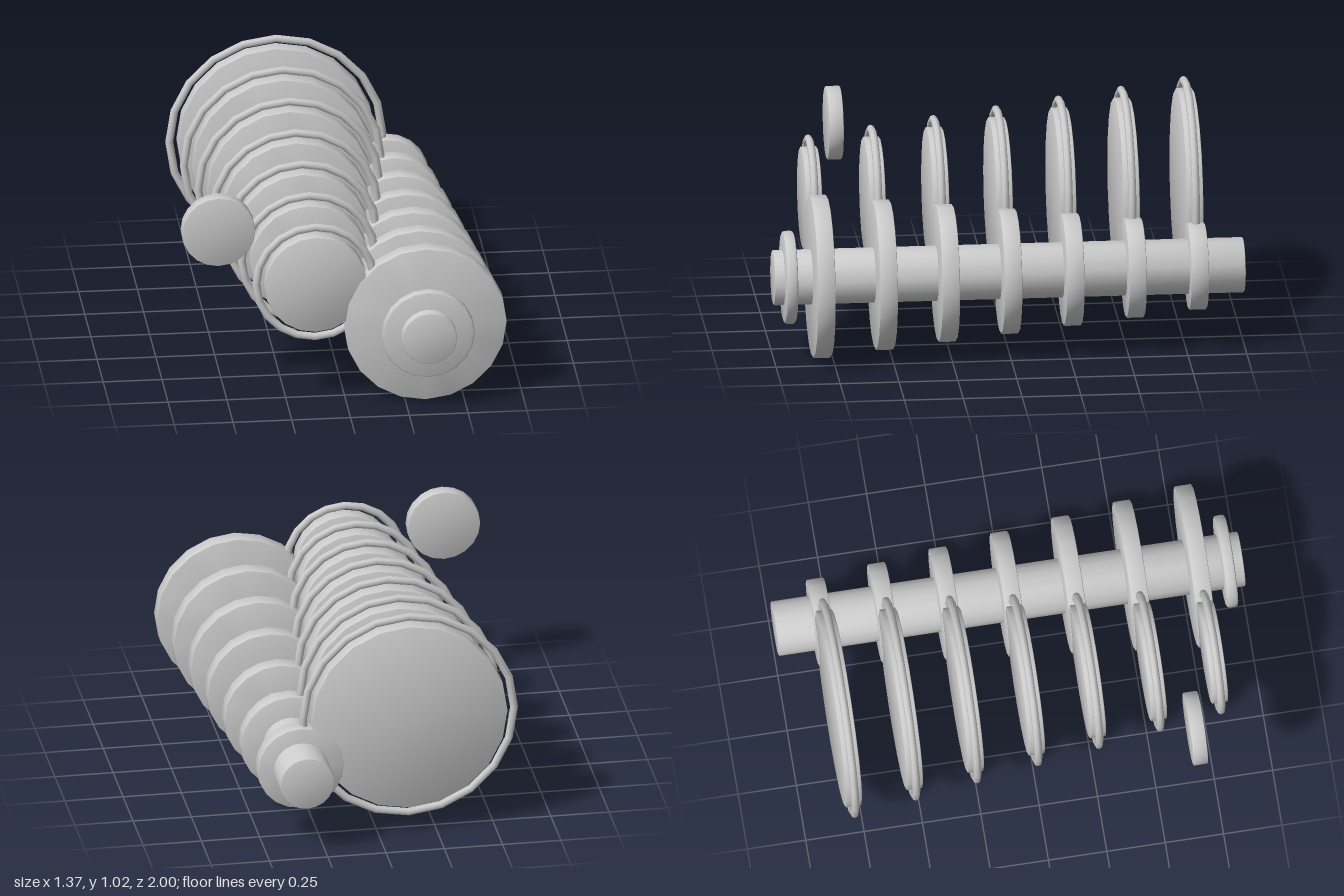
import * as THREE from 'three';
import { toCreasedNormals } from 'three/addons/utils/BufferGeometryUtils.js';

const SIDES = 20;
const material = new THREE.MeshStandardMaterial({ color: 0xcccccc });

export function createModel() {
  const group = new THREE.Group();

  function add(name, geometry, x, y, z) {
    const mesh = new THREE.Mesh(geometry, material);
    mesh.name = name;
    mesh.position.set(x, y, z);
    group.add(mesh);
  }

  // Solid disc along z with a small bevel on both rims
  function disc(radius, thickness, bevel) {
    const h = thickness / 2;
    const profile = [
      [0, -h], [radius - bevel, -h], [radius - bevel * 0.3, -h + bevel * 0.3], [radius, -h + bevel],
      [radius, h - bevel], [radius - bevel * 0.3, h - bevel * 0.3], [radius - bevel, h], [0, h],
    ].map(([r, y]) => new THREE.Vector2(r, y));
    const geometry = new THREE.LatheGeometry(profile, SIDES).rotateX(Math.PI / 2);
    return toCreasedNormals(geometry, 0.6);
  }

  // Shaft with its front collar
  const shaftX = 0.337, shaftY = 0.35;
  add('shaft', disc(0.117, 2, 0.006), shaftX, shaftY, 0);
  add('frontCollar', disc(0.197, 0.05, 0.012), shaftX, shaftY, 0.932);

  // Seven pairs: shaft wheels shrink towards the back, ringed wheels grow
  for (let i = 0; i < 7; i++) {
    const z = 0.8 - i * 0.2667;
    add('shaftWheel', disc(0.345 - i * 0.0267, 0.076, 0.006), shaftX, shaftY, z);
    const radius = 0.217 + i * 0.0339;
    add('ringedWheel', disc(radius, 0.07, 0.005), -0.13, 0.55, z);
    add('wheelRing', new THREE.TorusGeometry(radius + 0.033, 0.017, 8, SIDES), -0.13, 0.55, z);
  }

  // Separate small wheel at the upper side
  add('idlerWheel', disc(0.156, 0.063, 0.005), -0.529, 0.75, 0.664);

  return group;
}
